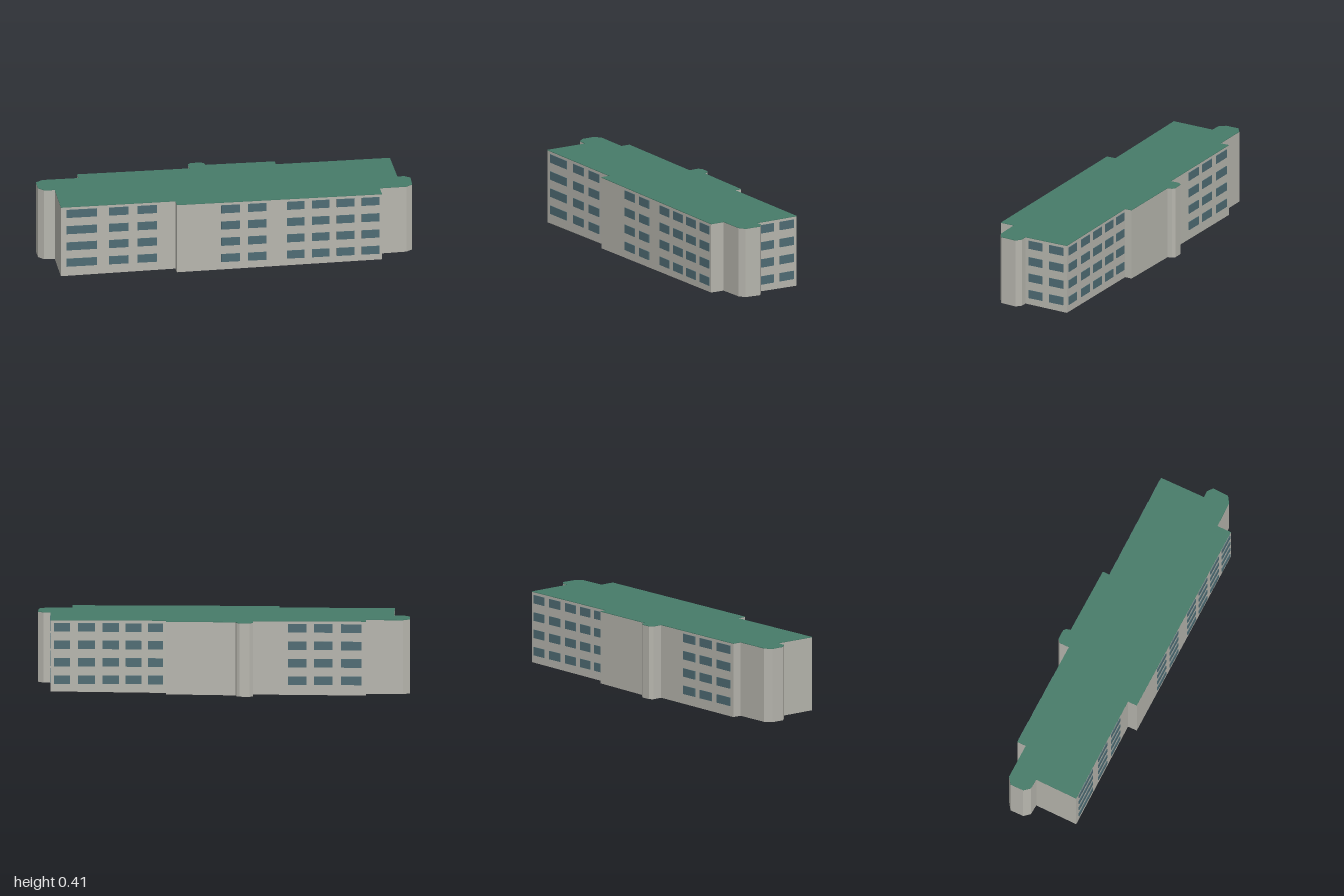
import * as THREE from 'three';

const TOP = 0.405, ROOF = 0.003;

// Building outline as [x, z], counter-clockwise seen from above
const outline = [
  [-0.92, 0.192], [-0.3, 0.203], [-0.3, 0.255], [0.41, 0.273], [0.81, 0.283],
  [0.81, 0.203], [0.955, 0.203], [0.99, 0.18], [0.995, 0.09], [0.965, 0.066],
  [0.928, 0.066], [0.928, -0.189], [0.31, -0.2], [0.31, -0.239],
  [-0.065, -0.251], [-0.07, -0.275], [-0.085, -0.287], [-0.14, -0.287], [-0.157, -0.272],
  [-0.157, -0.217], [-0.765, -0.233], [-0.765, -0.182], [-0.962, -0.187], [-1, -0.16],
  [-1, -0.085], [-0.972, -0.052], [-0.915, -0.048],
];

// Floor heights of the window rows
const rows = [0.08, 0.175, 0.27, 0.365];

// Glazed walls: two end points, axis used for spans (0 = x, 1 = z), window spans
const glazedWalls = [
  ['frontLeftWing', [-0.92, 0.192], [-0.3, 0.203], 0, [[-0.89, -0.725], [-0.66, -0.555], [-0.505, -0.4]]],
  ['frontCentre', [-0.3, 0.255], [0.41, 0.273], 0, [[-0.06, 0.04], [0.085, 0.185], [0.295, 0.39]]],
  ['frontEnd', [0.41, 0.273], [0.81, 0.283], 0, [[0.43, 0.525], [0.565, 0.66], [0.7, 0.795]]],
  ['side', [0.928, 0.066], [0.928, -0.189], 1, [[0.045, -0.04], [-0.08, -0.168]]],
  ['backNear', [0.928, -0.189], [0.31, -0.2], 0,
    [[0.91, 0.825], [0.78, 0.69], [0.65, 0.56], [0.525, 0.44], [0.405, 0.325]]],
  ['backFar', [-0.157, -0.217], [-0.765, -0.233], 0, [[-0.345, -0.445], [-0.485, -0.585], [-0.63, -0.74]]],
];

function slab(depth, y) {
  const shape = new THREE.Shape(outline.map(([x, z]) => new THREE.Vector2(x, -z)));
  const geo = new THREE.ExtrudeGeometry(shape, { depth, bevelEnabled: false });
  return geo.rotateX(-Math.PI / 2).translate(0, y, 0);
}

export function createModel() {
  const wall = new THREE.MeshStandardMaterial({ color: 0xb7b6ae });
  wall.name = 'wall';
  const glass = new THREE.MeshStandardMaterial({ color: 0x4f6c74 });
  glass.name = 'glass';
  const green = new THREE.MeshStandardMaterial({ color: 0x467b69 });
  green.name = 'greenRoof';

  const model = new THREE.Group();
  model.name = 'building';
  const add = (parent, name, geo, mat) => {
    const mesh = new THREE.Mesh(geo, mat);
    mesh.name = name;
    parent.add(mesh);
    return mesh;
  };

  // Walls, with the underside following the sloping ground
  const body = slab(TOP - ROOF, 0);
  const p = body.attributes.position;
  for (let i = 0; i < p.count; i++) {
    if (p.getY(i) < 0.1) p.setY(i, Math.max(0, 0.009 + 0.011 * p.getX(i) + 0.016 * p.getZ(i)));
  }
  body.computeVertexNormals();
  add(model, 'walls', body, wall);

  // Flat roof sheet
  add(model, 'roof', slab(ROOF, TOP - ROOF), green);

  // Thin window plates set along each glazed wall
  for (const [name, a, b, axis, spans] of glazedWalls) {
    const group = new THREE.Group();
    group.name = name + 'Windows';
    model.add(group);
    const dx = b[0] - a[0], dz = b[1] - a[1];
    const stretch = Math.hypot(dx, dz) / Math.abs(b[axis] - a[axis]);
    for (const [s, e] of spans) {
      const t = ((s + e) / 2 - a[axis]) / (b[axis] - a[axis]);
      const geo = new THREE.BoxGeometry(Math.abs(e - s) * stretch, 0.046, 0.008);
      for (const y of rows) {
        const pane = add(group, 'window', geo, glass);
        pane.position.set(a[0] + dx * t, y, a[1] + dz * t);
        pane.rotation.y = Math.atan2(-dz, dx);
      }
    }
  }
  return model;
}
